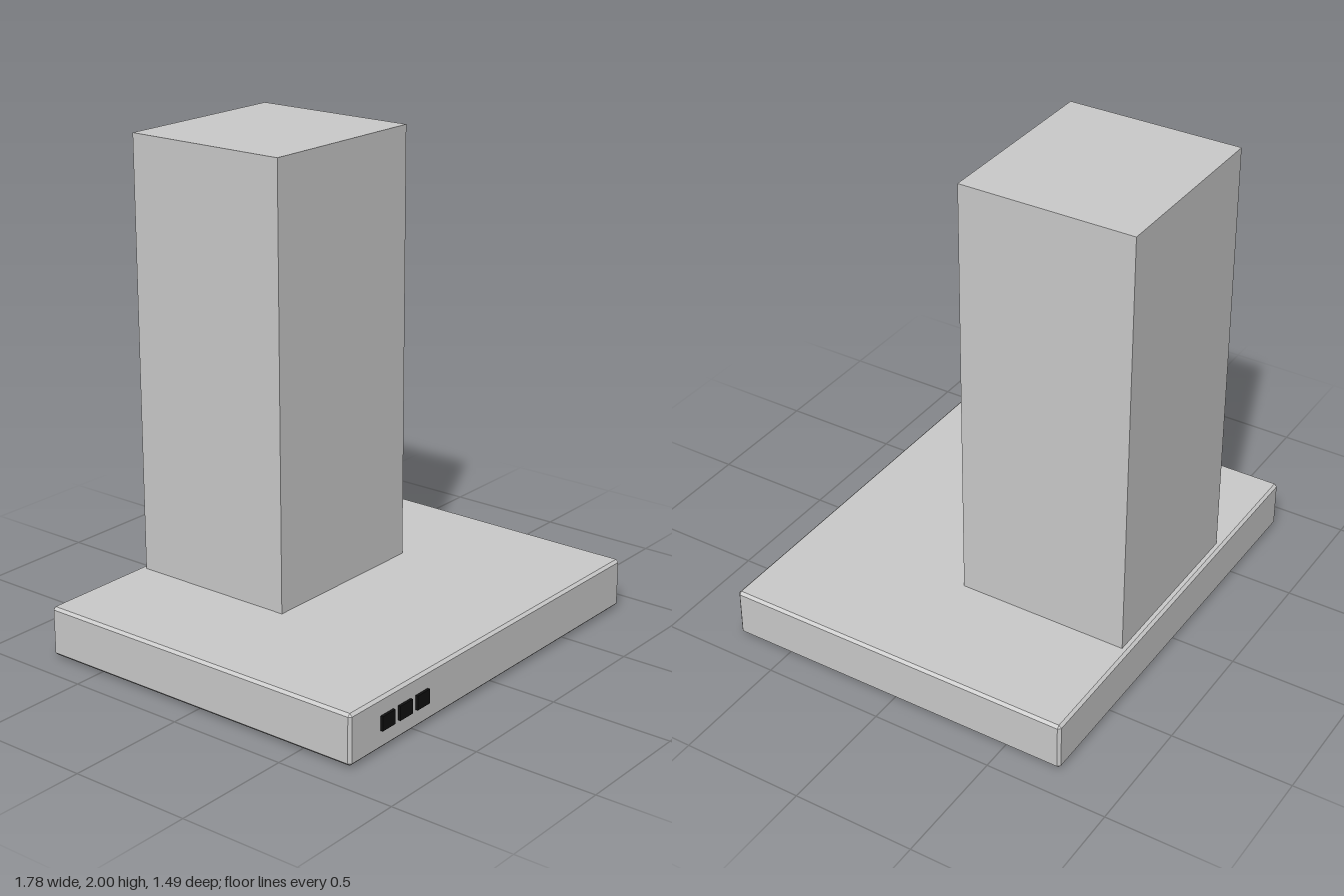
import * as THREE from 'three';
import { ConvexGeometry } from 'three/addons/geometries/ConvexGeometry.js';

const steel = new THREE.MeshStandardMaterial({ color: 0xcccccc });
const black = new THREE.MeshStandardMaterial({ color: 0x111111 });

// Box whose twelve edges are cut by a flat chamfer c
function chamferBox(w, h, d, c) {
  const points = [];
  for (const x of [-1, 1]) for (const y of [-1, 1]) for (const z of [-1, 1]) {
    for (let axis = 0; axis < 3; axis++) {
      const inset = [c, c, c];
      inset[axis] = 0;
      points.push(new THREE.Vector3(
        x * (w / 2 - inset[0]), y * (h / 2 - inset[1]), z * (d / 2 - inset[2])));
    }
  }
  return new ConvexGeometry(points);
}

export function createModel() {
  const hood = new THREE.Group();
  hood.name = 'rangeHood';

  function add(name, geometry, material, x, y, z) {
    const mesh = new THREE.Mesh(geometry, material);
    mesh.name = name;
    mesh.position.set(x, y, z);
    hood.add(mesh);
  }

  // Wide, flat canopy with chamfered edges
  add('canopy', chamferBox(1.776, 0.204, 1.476, 0.011), steel, 0, 0.112, -0.005);

  // Tall duct cover set toward the back
  add('chimney', new THREE.BoxGeometry(0.77, 1.8, 0.715), steel, 0, 1.1, -0.3575);

  // Dark filter panel just proud of the underside
  add('filter', new THREE.BoxGeometry(1.67, 0.03, 1.37), black, 0, 0.015, -0.005);

  // Row of control buttons at the front
  for (let i = 0; i < 3; i++) {
    add('button' + (i + 1), new THREE.BoxGeometry(0.074, 0.058, 0.02), black,
      -0.678 + i * 0.104, 0.114, 0.734);
  }

  return hood;
}
